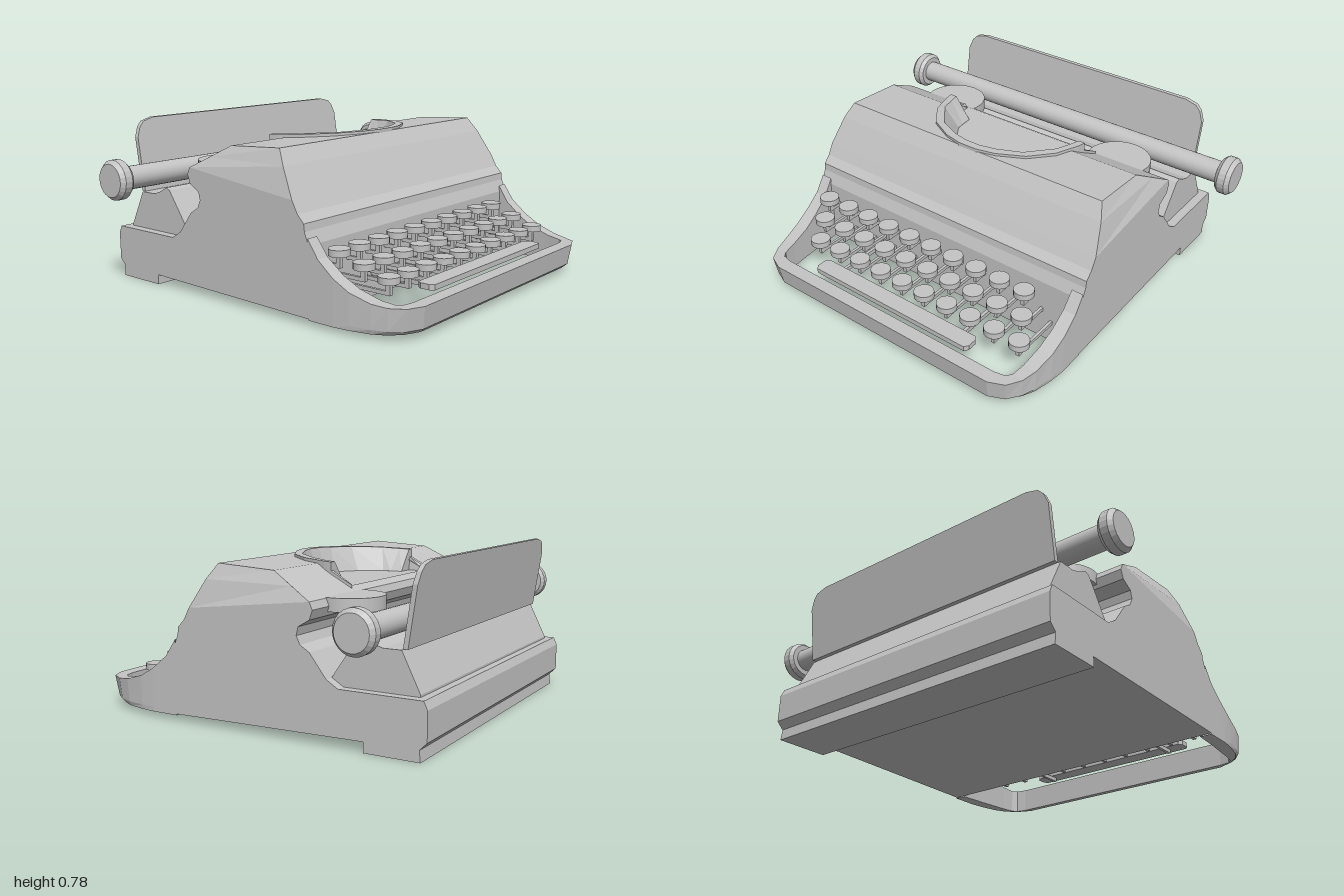
import * as THREE from 'three';

const gray = new THREE.MeshStandardMaterial({ color: 0xc4c4c4, side: THREE.DoubleSide });
gray.name = 'light gray';

// Quad strips between rows of [x, y, z] points, flat shaded
function loft(rows, closed = false) {
  const out = [];
  for (let i = 0; i < rows.length - 1; i++) {
    const a = rows[i], b = rows[i + 1], n = a.length;
    for (let j = 0; j < (closed ? n : n - 1); j++) {
      const k = (j + 1) % n;
      out.push(...a[j], ...a[k], ...b[k], ...a[j], ...b[k], ...b[j]);
    }
  }
  const g = new THREE.BufferGeometry();
  g.setAttribute('position', new THREE.Float32BufferAttribute(out, 3));
  g.computeVertexNormals();
  return g;
}

const flipX = (row) => row.map(([x, y, z]) => [-x, y, z]);
const mirrorRows = (half) => [...half, ...half.slice().reverse().map(flipX)];
const toShape = (pts) => new THREE.Shape(pts.map(([x, y]) => new THREE.Vector2(x, y)));

// Side profile of [z, y] points extruded across x
function across(pts, halfWidth) {
  const g = new THREE.ExtrudeGeometry(toShape(pts), { depth: 2 * halfWidth, bevelEnabled: false });
  return g.rotateY(-Math.PI / 2).translate(halfWidth, 0, 0);
}

// Plan outline of [x, z] points, mirrored in x and raised to y = height(z)
function plate(half, height) {
  const pts = [...half, ...half.slice().reverse().map(([x, z]) => [-x, z])];
  const g = new THREE.ShapeGeometry(toShape(pts.map(([x, z]) => [x, -z])));
  const p = g.attributes.position;
  for (let i = 0; i < p.count; i++) {
    const z = -p.getY(i);
    p.setXYZ(i, p.getX(i), height(z), z);
  }
  g.computeVertexNormals();
  return g;
}

export function createModel() {
  const model = new THREE.Group();
  model.name = 'typewriter';
  const add = (name, geometry, x = 0, y = 0, z = 0, parent = model) => {
    const m = new THREE.Mesh(geometry, gray);
    m.name = name;
    m.position.set(x, y, z);
    parent.add(m);
    return m;
  };

  // Lower case with rear deck and foot
  add('lowerCase', across([
    [0.39, 0.03], [0.39, 0.345], [0.368, 0.4], [0.364, 0.434], [0.33, 0.47], [0.3, 0.525],
    [-0.33, 0.597], [-0.345, 0.564], [-0.33, 0.522], [-0.275, 0.49], [-0.266, 0.452],
    [-0.284, 0.415], [-0.33, 0.387], [-0.41, 0.284], [-0.466, 0.25], [-0.85, 0.25],
    [-0.867, 0.214], [-0.867, 0.084], [-0.834, 0.051], [-0.839, 0.0], [-0.583, 0.0],
    [-0.583, 0.047],
  ], 0.795));

  // Keyboard frame: [outer x, outer z, inner x, inner z, top y, undercut]
  const frame = [
    [0.795, 0.385, 0.737, 0.385, 0.375, 0], [0.795, 0.44, 0.733, 0.44, 0.295, 0],
    [0.795, 0.52, 0.728, 0.52, 0.23, 0], [0.79, 0.6, 0.72, 0.6, 0.185, 0.1],
    [0.775, 0.7, 0.71, 0.7, 0.154, 0.3], [0.755, 0.77, 0.7, 0.765, 0.145, 0.6],
    [0.715, 0.835, 0.68, 0.79, 0.145, 1], [0.64, 0.867, 0.63, 0.8, 0.145, 1],
  ].map(([ox, oz, ix, iz, y, k]) => [
    [ox, y, oz], [ox * (1 - 0.015 * k), 0.045, oz - 0.014 * k],
    [ox * (1 - 0.04 * k), 0.024, oz - 0.037 * k], [ix, 0.024, iz], [ix, y, iz],
  ]);
  add('keyboardFrame', loft(mirrorRows(frame), true));

  // Hood: front, sides, flat deck and rear slope around the type basket
  const slopeY = (z) => 0.709 + 0.526 * (z + 0.117);
  const deckY = (z) => 0.709 + 0.0544 * (z + 0.117);
  const front = [[0.795, 0.525, 0.3], [0.765, 0.655, 0.225], [0.735, 0.725, 0.177]];
  const rear = [[0.795, 0.597, -0.33], [0.765, 0.652, -0.225], [0.735, 0.709, -0.117]];
  add('hoodFront', loft([flipX(front), front]));
  add('hoodSideLeft', loft([front, rear]));
  add('hoodSideRight', loft([flipX(rear), flipX(front)]));
  add('hoodDeck', plate([
    [0.735, 0.177], [0.735, -0.117], [0.35, -0.117], [0.337, -0.064], [0.235, 0.064],
    [0.118, 0.12], [0.04, 0.14],
  ].reverse().concat([]).reverse().slice(0), deckY).clone());
  add('hoodSlope', plate([
    [0.795, -0.33], [0.765, -0.225], [0.735, -0.117], [0.35, -0.117], [0.37, -0.2], [0.374, -0.29],
  ], slopeY));

  // Type basket: raised rim, sloping wall and floor
  // [outer x, z, inner x, z, floor x, z, rim top y]
  const floorY = 0.612;
  const rim = [
    [0.408, -0.31, 0.39, -0.3, 0.375, -0.29, 0.622], [0.408, -0.2, 0.385, -0.2, 0.375, -0.2, 0.68],
    [0.408, -0.2, 0.374, -0.2, 0.29, -0.2, 0.72], [0.402, -0.16, 0.362, -0.15, 0.285, -0.14, 0.722],
    [0.36, -0.03, 0.337, -0.064, 0.28, -0.1, 0.728], [0.27, 0.085, 0.235, 0.064, 0.21, 0.01, 0.733],
    [0.144, 0.155, 0.118, 0.12, 0.107, 0.085, 0.736], [0.05, 0.18, 0.04, 0.14, 0.035, 0.1, 0.738],
  ].map(([ox, oz, ix, iz, fx, fz, y]) => [
    [ox, (oz < -0.117 ? slopeY(oz) : deckY(oz)) - 0.01, oz], [ox, y, oz], [ix, y, iz], [fx, floorY, fz],
  ]);
  add('basketRim', loft(mirrorRows(rim)));
  add('basketFloor', plate([
    [0.38, -0.3], [0.38, -0.2], [0.29, -0.2], [0.28, -0.1], [0.21, 0.01], [0.107, 0.085], [0.035, 0.1],
  ], () => floorY));

  // Ribbon spool covers
  for (const s of [1, -1]) {
    add('spoolCover', new THREE.CylinderGeometry(0.155, 0.155, 0.06, 32), s * 0.51, 0.57, -0.36);
  }

  // Carriage, platen with knobs, paper rest
  add('carriage', across([
    [-0.41, 0.284], [-0.53, 0.46], [-0.555, 0.47], [-0.6, 0.445], [-0.645, 0.43],
    [-0.73, 0.43], [-0.815, 0.26], [-0.815, 0.24], [-0.47, 0.24],
  ], 0.75));
  add('platen', new THREE.CylinderGeometry(0.055, 0.055, 1.9, 24).rotateZ(Math.PI / 2), 0, 0.527, -0.645);
  for (const s of [1, -1]) {
    const profile = [[0, 0.925], [0.08, 0.925], [0.095, 0.943], [0.095, 0.98], [0.078, 1.0], [0, 1.0]];
    const knob = new THREE.LatheGeometry(profile.map(([r, h]) => new THREE.Vector2(r, h)), 24).toNonIndexed();
    knob.computeVertexNormals();
    add('platenKnob', knob.rotateZ(-s * Math.PI / 2), 0, 0.527, -0.645);
  }
  const corner = [[0.735, 0.43], [0.735, 0.69], [0.715, 0.74], [0.69, 0.765], [0.63, 0.78]];
  const rest = new THREE.ExtrudeGeometry(
    toShape([...corner, ...corner.slice().reverse().map(([x, y]) => [-x, y])]),
    { depth: 0.022, bevelEnabled: false });
  const rp = rest.attributes.position;
  for (let i = 0; i < rp.count; i++) rp.setZ(i, rp.getZ(i) - 0.75 - (rp.getY(i) - 0.43) * 0.15);
  rest.computeVertexNormals();
  add('paperRest', rest);

  // Three rows of ten keys, each with a cap, stem and lever
  const cap = new THREE.CylinderGeometry(0.048, 0.048, 0.03, 20);
  const stem = new THREE.BoxGeometry(0.018, 0.06, 0.022);
  for (let r = 0; r < 3; r++) {
    const z = 0.458 + r * 0.09, y = 0.31 - r * 0.055;
    const lever = new THREE.BoxGeometry(0.014, 0.018, z - 0.375);
    for (let i = 0; i < 10; i++) {
      const key = new THREE.Group();
      key.name = 'key';
      key.position.set(-0.68 + r * 0.053 + i * 0.135, y, z);
      add('keyCap', cap, 0, 0, 0, key);
      add('keyStem', stem, 0, -0.04, 0, key);
      add('keyLever', lever, 0, -0.062, (0.375 - z) / 2, key);
      model.add(key);
    }
  }

  // Space bar with two arms
  const bar = toShape([
    [-0.465, -0.72], [-0.45, -0.7], [0.45, -0.7], [0.465, -0.72],
    [0.465, -0.765], [0.45, -0.785], [-0.45, -0.785], [-0.465, -0.765],
  ]);
  add('spaceBar', new THREE.ExtrudeGeometry(bar, { depth: 0.025, bevelEnabled: false })
    .rotateX(-Math.PI / 2), 0, 0.15, 0);
  for (const s of [1, -1]) {
    add('spaceBarArm', new THREE.BoxGeometry(0.016, 0.02, 0.37), s * 0.37, 0.14, 0.56);
  }
  return model;
}
